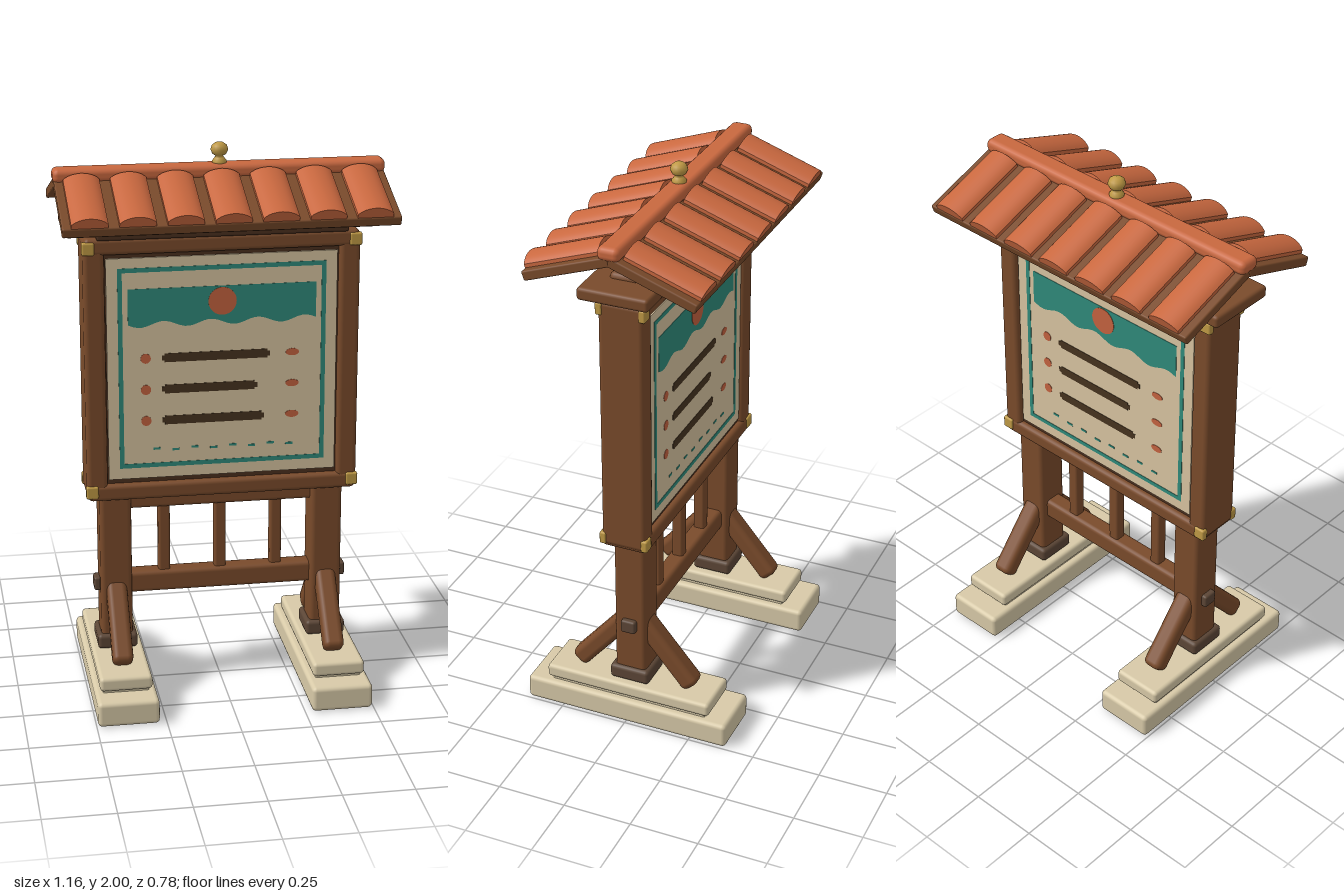
import * as THREE from 'three';
import { toCreasedNormals } from 'three/addons/utils/BufferGeometryUtils.js';
import { RoundedBoxGeometry } from 'three/addons/geometries/RoundedBoxGeometry.js';

const material = (name, color) => {
  const m = new THREE.MeshStandardMaterial({ color });
  m.name = name;
  return m;
};

export function createModel() {
  const wood = material('wood', 0x7a4b2b);
  const darkWood = material('dark wood', 0x4a2f1e);
  const ironwork = material('dark metal', 0x5c4636);
  const stone = material('stone', 0xd8caa8);
  const tileRed = material('terracotta', 0xc9683f);
  const paper = material('cream panel', 0xd8c4a0);
  const teal = material('teal paint', 0x2f8a7a);
  const ink = material('brown ink', 0x46331f);
  const coral = material('coral paint', 0xc4623f);
  const brass = material('brass', 0xc09a45);

  const model = new THREE.Group();
  model.name = 'noticeBoard';

  const add = (parent, name, geometry, mat, x = 0, y = 0, z = 0) => {
    const mesh = new THREE.Mesh(geometry, mat);
    mesh.name = name;
    mesh.position.set(x, y, z);
    parent.add(mesh);
    return mesh;
  };
  // Softly rounded block given by its size and centre
  const block = (parent, name, mat, [w, h, d], [x, y, z], r = 0.012) =>
    add(parent, name, new RoundedBoxGeometry(w, h, d, 2, Math.min(r, w * 0.45, h * 0.45, d * 0.45)), mat, x, y, z);

  // Stone feet, legs, shoes, braces and side posts
  for (const s of [-1, 1]) {
    const x = s * 0.385;
    block(model, 'stoneBase', stone, [0.22, 0.092, 0.78], [x, 0.046, 0], 0.016);
    block(model, 'stoneStep', stone, [0.165, 0.03, 0.6], [x, 0.096, 0], 0.006);
    block(model, 'stoneTop', stone, [0.188, 0.052, 0.635], [x, 0.128, 0], 0.014);
    block(model, 'leg', wood, [0.115, 1.625, 0.12], [x, 0.963, 0], 0.018);
    block(model, 'legShoe', ironwork, [0.145, 0.055, 0.15], [x, 0.184, 0], 0.014);
    block(model, 'wedgePeg', ironwork, [0.03, 0.05, 0.055], [s * 0.448, 0.395, 0], 0.008);
    for (const f of [-1, 1]) {
      const brace = block(model, 'brace', wood, [0.075, 0.32, 0.07], [x, 0.285, f * 0.12], 0.022);
      brace.rotation.x = -f * 0.7;
    }
    block(model, 'framePost', wood, [0.075, 0.945, 0.165], [s * 0.45, 1.217, 0], 0.018);
  }

  // Lower crossbars and balusters
  block(model, 'lowerCrossbar', wood, [0.72, 0.08, 0.07], [0, 0.395, 0], 0.016);
  block(model, 'upperCrossbar', wood, [0.72, 0.055, 0.07], [0, 0.71, 0], 0.014);
  for (const x of [-0.205, 0, 0.205])
    block(model, 'baluster', wood, [0.043, 0.28, 0.043], [x, 0.56, 0], 0.01);

  // Frame rails with brass corner caps
  for (const y of [0.765, 1.664]) {
    block(model, 'frameRail', wood, [0.965, 0.06, 0.17], [0, y, 0], 0.016);
    for (const s of [-1, 1])
      for (const f of [-1, 1])
        block(model, 'cornerCap', brass, [0.044, 0.046, 0.025], [s * 0.469, y + (y > 1 ? -0.004 : 0.006), f * 0.078], 0.007);
  }
  add(model, 'panelBacking', new THREE.BoxGeometry(0.86, 0.88, 0.124), darkWood, 0, 1.215, 0);
  add(model, 'panel', new THREE.BoxGeometry(0.815, 0.808, 0.136), paper, 0, 1.215, 0);

  // Painted poster, the same on both faces
  const plate = (shape) => new THREE.ExtrudeGeometry(shape, { depth: 0.002, bevelEnabled: false, curveSegments: 20 });
  const rectangle = (path, w, h) => {
    path.moveTo(-w / 2, -h / 2);
    path.lineTo(w / 2, -h / 2);
    path.lineTo(w / 2, h / 2);
    path.lineTo(-w / 2, h / 2);
    path.closePath();
    return path;
  };
  const borderShape = rectangle(new THREE.Shape(), 0.736, 0.732);
  borderShape.holes.push(rectangle(new THREE.Path(), 0.704, 0.7));
  const banner = new THREE.Shape();
  banner.moveTo(0.333, 1.508);
  banner.lineTo(-0.333, 1.508);
  for (let i = 0; i <= 40; i++) {
    const x = -0.333 + (0.666 * i) / 40;
    banner.lineTo(x, 1.379 - 0.011 * Math.sin(((x + 0.333) / 0.167) * Math.PI * 2));
  }
  banner.closePath();
  const disc = (rx, ry = rx) => plate(new THREE.Shape().absellipse(0, 0, rx, ry, 0, Math.PI * 2));

  for (const turn of [0, Math.PI]) {
    const poster = new THREE.Group();
    poster.name = turn ? 'backPoster' : 'frontPoster';
    poster.rotation.y = turn;
    model.add(poster);
    const z = 0.0675;
    add(poster, 'border', plate(borderShape), teal, 0, 1.217, z);
    add(poster, 'wavyBanner', plate(banner), teal, 0, 0, z);
    add(poster, 'sun', disc(0.05), coral, 0, 1.453, z + 0.0015);
    [[1.255, 0.17], [1.14, 0.125], [1.025, 0.15]].forEach(([y, end]) => {
      const w = end + 0.215;
      add(poster, 'writingLine', plate(rectangle(new THREE.Shape(), w - 0.02, 0.032)), ink, end - w / 2, y, z);
      for (const x of [-0.206, end - 0.009])
        add(poster, 'writingLineEnd', plate(rectangle(new THREE.Shape(), 0.018, 0.018)), ink, x, y, z);
      add(poster, 'bullet', disc(0.018), coral, -0.272, y, z);
      add(poster, 'mark', disc(0.024, 0.013), coral, 0.25, y, z);
    });
    for (let i = 0; i < 8; i++)
      add(poster, 'dash', plate(rectangle(new THREE.Shape(), 0.026, 0.008)), teal, -0.235 + i * 0.068, 0.917 + (i % 2 ? -0.003 : 0.003), z);
  }

  // Beam under the roof
  block(model, 'topBeam', wood, [1.1, 0.046, 0.255], [0, 1.733, 0], 0.012);
  block(model, 'beamCleat', darkWood, [0.88, 0.03, 0.2], [0, 1.705, 0], 0.008);

  // Arched roof tile, extruded down the slope
  const arch = new THREE.Shape();
  arch.moveTo(0.062, 0);
  arch.lineTo(0.062, 0.014);
  arch.quadraticCurveTo(0.042, 0.036, 0, 0.038);
  arch.quadraticCurveTo(-0.042, 0.036, -0.062, 0.014);
  arch.lineTo(-0.062, 0);
  arch.closePath();
  const tile = toCreasedNormals(
    new THREE.ExtrudeGeometry(arch, { depth: 0.285, bevelEnabled: false, curveSegments: 6 }), 0.6);

  // Two roof slopes
  for (const turn of [0, Math.PI]) {
    const side = new THREE.Group();
    side.name = turn ? 'backRoof' : 'frontRoof';
    side.rotation.y = turn;
    side.position.y = 1.88;
    model.add(side);
    const slope = new THREE.Group();
    slope.name = 'slope';
    slope.rotation.x = 0.34;
    side.add(slope);
    block(slope, 'roofBoard', wood, [1.15, 0.035, 0.325], [0, 0, 0.1625], 0.006);
    for (let i = -3; i <= 3; i++)
      add(slope, 'roofTile', tile, tileRed, i * 0.161, 0.0165, 0.037);
  }

  // Ridge and finial
  block(model, 'ridgeCap', tileRed, [1.158, 0.05, 0.08], [0, 1.904, 0], 0.02);
  const profile = [[0, 1.92], [0.024, 1.922], [0.026, 1.934], [0.017, 1.946], [0.012, 1.952], [0.024, 1.959],
    [0.031, 1.974], [0.026, 1.989], [0.014, 1.998], [0, 2]].map(([r, y]) => new THREE.Vector2(r, y));
  add(model, 'finial', new THREE.LatheGeometry(profile, 20), brass);

  return model;
}
